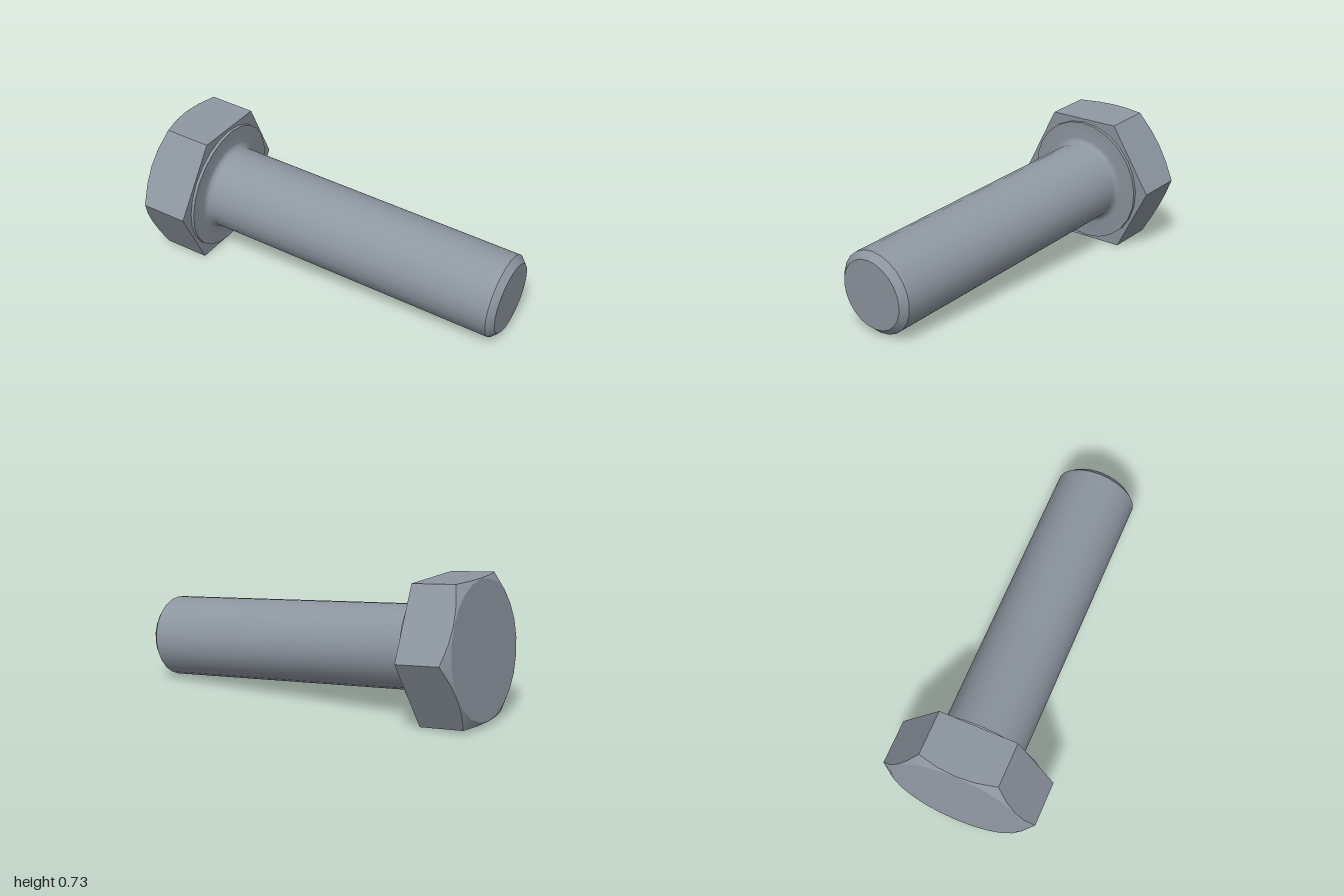
import * as THREE from 'three';
import { toCreasedNormals } from 'three/addons/utils/BufferGeometryUtils.js';

const SIDES = 24;
const HEAD_HEIGHT = 0.272;
const FLAT = 0.355;          // axis to flat of the hexagon
const FACE_RADIUS = 0.352;   // circle left by the chamfer on the head's end
const WASHER_RADIUS = 0.338;
const WASHER_HEIGHT = 0.016;
const SHAFT_RADIUS = 0.218;
const FILLET = 0.03;
const CHAMFER = 0.034;
const TIP = 1.657;

const lathe = (points) =>
  new THREE.LatheGeometry(points.map(([r, y]) => new THREE.Vector2(r, y)), SIDES);

// Hexagonal head: a lathe whose rim is pushed out to a hexagon, with a 30 degree conical chamfer
function headGeometry() {
  const geometry = lathe([[0, -HEAD_HEIGHT], [FACE_RADIUS, -HEAD_HEIGHT], [FLAT, -HEAD_HEIGHT], [FLAT, 0], [0, 0]]);
  const p = geometry.attributes.position;
  const sector = Math.PI / 3;
  for (let i = 0; i < p.count; i++) {
    const x = p.getX(i), z = p.getZ(i);
    if (Math.hypot(x, z) < FLAT - 0.001) continue;
    const angle = Math.atan2(x, z);
    const radius = FLAT / Math.cos(angle - Math.round(angle / sector) * sector);
    const drop = p.getY(i) < -0.01 ? (radius - FACE_RADIUS) * Math.tan(Math.PI / 6) : 0;
    p.setXYZ(i, radius * Math.sin(angle), p.getY(i) + drop, radius * Math.cos(angle));
  }
  return toCreasedNormals(geometry, 0.5);
}

// Washer face, fillet, plain shank and chamfered tip in one profile
function shankGeometry() {
  const profile = [[WASHER_RADIUS, 0], [WASHER_RADIUS, WASHER_HEIGHT]];
  for (let i = 0; i <= 4; i++) {
    const a = (i / 4) * Math.PI / 2;
    profile.push([
      SHAFT_RADIUS + FILLET * (1 - Math.sin(a)),
      WASHER_HEIGHT + FILLET * (1 - Math.cos(a)),
    ]);
  }
  profile.push([SHAFT_RADIUS, TIP - CHAMFER], [SHAFT_RADIUS - CHAMFER, TIP], [0, TIP]);
  return toCreasedNormals(lathe(profile), 0.5);
}

export function createModel() {
  const steel = new THREE.MeshStandardMaterial({ color: 0x8e97a1 });
  steel.name = 'steel grey';

  const bolt = new THREE.Group();
  bolt.name = 'hexBolt';
  const add = (name, geometry) => {
    const mesh = new THREE.Mesh(geometry, steel);
    mesh.name = name;
    bolt.add(mesh);
  };
  add('hexHead', headGeometry());
  add('shank', shankGeometry());

  // Lay the bolt along its slanted axis, with one hexagon corner level
  const axis = new THREE.Vector3(1, -0.085, 0.213).normalize();
  const corner = new THREE.Vector3(axis.z, 0, -axis.x).normalize();
  const side = new THREE.Vector3().crossVectors(corner, axis);
  bolt.quaternion.setFromRotationMatrix(new THREE.Matrix4().makeBasis(corner, axis, side));
  bolt.position.set(-0.656, 0.354, -0.049);

  const model = new THREE.Group();
  model.name = 'boltModel';
  model.add(bolt);
  return model;
}
